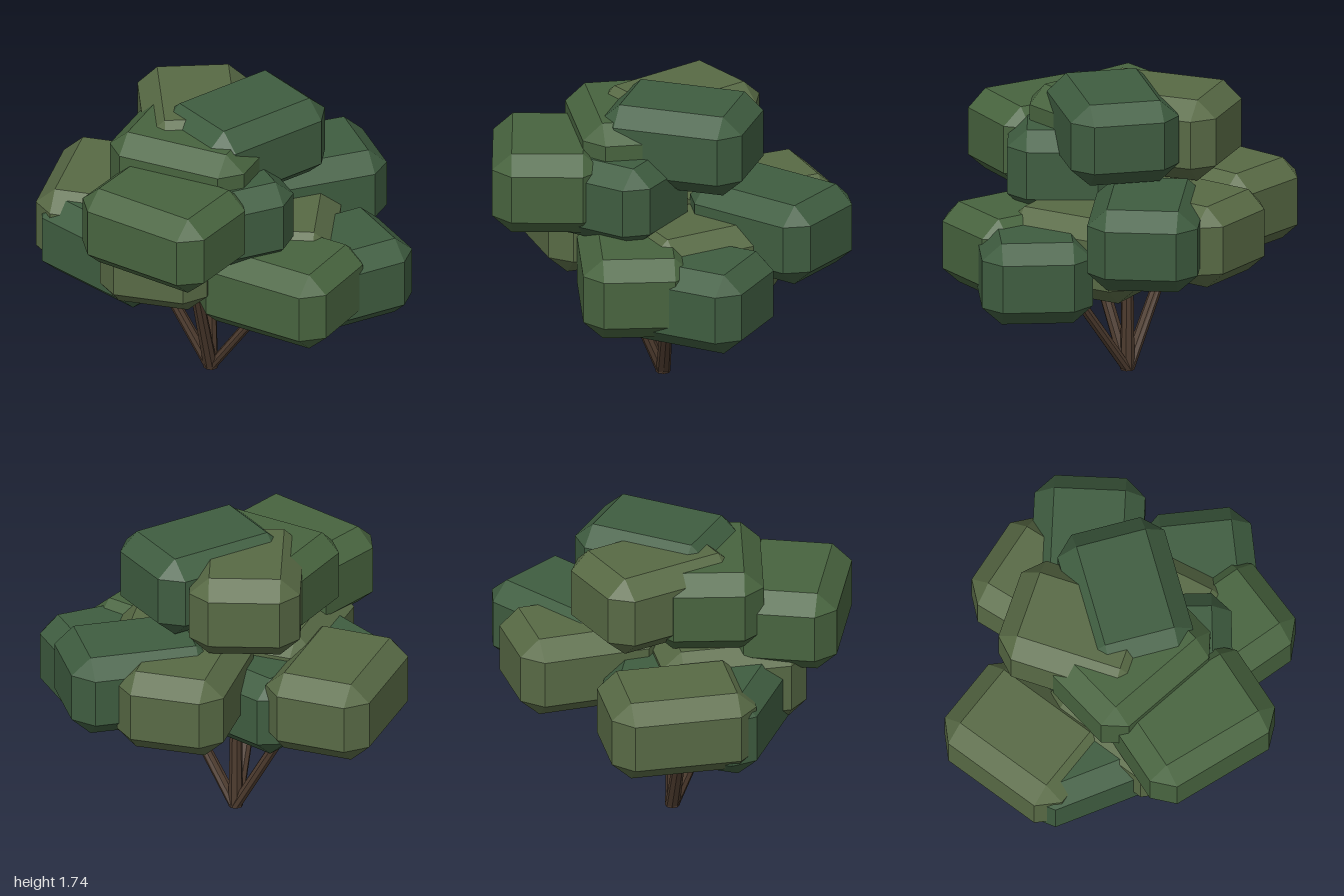
import * as THREE from 'three';
import { ConvexGeometry } from 'three/addons/geometries/ConvexGeometry.js';

const material = (color) => new THREE.MeshStandardMaterial({ color, flatShading: true });

// Box with every edge and corner cut off: 24 corner points
function chamferedBox(hx, hy, hz, cut, cutY) {
  const points = [];
  for (const sx of [-1, 1]) for (const sy of [-1, 1]) for (const sz of [-1, 1]) {
    const add = (x, y, z) => points.push(new THREE.Vector3(sx * x, sy * y, sz * z));
    add(hx, hy - cutY, hz - cut);
    add(hx - cut, hy, hz - cut);
    add(hx - cut, hy - cutY, hz);
  }
  return new ConvexGeometry(points);
}

export function createModel() {
  const tree = new THREE.Group();
  tree.name = 'tree';

  // Foliage: x, middle height, z, turn in degrees
  const clumps = {
    darkFoliage: {
      color: 0x3f5d40,
      places: [
        [0.13, 1.5, 0.0, 23],
        [0.56, 1.01, -0.275, 5],
        [-0.155, 1.23, 0.335, 9],
        [0.53, 0.77, 0.385, 14],
        [-0.565, 0.86, -0.14, -60],
        [-0.28, 0.82, -0.2, 40],
      ],
    },
    greenFoliage: {
      color: 0x48643f,
      places: [
        [-0.47, 1.27, 0.47, -50],
        [-0.2, 1.42, 0.08, -40],
        [0.21, 0.815, 0.5, -46],
      ],
    },
    oliveFoliage: {
      color: 0x586a45,
      places: [
        [-0.09, 1.46, -0.23, 79],
        [-0.57, 0.9, -0.48, 60],
        [0.295, 0.97, -0.435, 65],
        [-0.35, 0.94, 0.1, 60],
        [0.33, 0.85, 0.1, 70],
      ],
    },
  };
  const clumpGeometry = chamferedBox(0.42, 0.24, 0.315, 0.112, 0.1);
  for (const [name, { color, places }] of Object.entries(clumps)) {
    const group = new THREE.Group();
    group.name = name;
    const leaf = material(color);
    for (const [x, y, z, turn] of places) {
      const clump = new THREE.Mesh(clumpGeometry, leaf);
      clump.name = 'leafClump';
      clump.position.set(x, y, z);
      clump.rotation.y = THREE.MathUtils.degToRad(turn);
      group.add(clump);
    }
    tree.add(group);
  }

  // Stems fanning out from one foot
  const bark = material(0x4d3b2e);
  const foot = new THREE.Vector3(-0.055, 0, -0.05);
  const tips = [
    [0.27, 0.65, 0.28],
    [-0.4, 0.72, -0.27],
    [-0.3, 1.08, 0.33],
    [-0.06, 0.85, -0.05],
  ];
  const stems = new THREE.Group();
  stems.name = 'stems';
  for (const tip of tips) {
    const along = new THREE.Vector3(...tip).sub(foot);
    const length = along.length();
    const geometry = new THREE.CylinderGeometry(0.03, 0.042, length, 8);
    geometry.translate(0, length / 2, 0);
    const stem = new THREE.Mesh(geometry, bark);
    stem.name = 'stem';
    stem.quaternion.setFromUnitVectors(new THREE.Vector3(0, 1, 0), along.normalize());
    stem.position.copy(foot);
    // Level the foot of the stem on the ground
    stem.updateMatrix();
    geometry.applyMatrix4(stem.matrix);
    stem.position.set(0, 0, 0);
    stem.quaternion.identity();
    const p = geometry.attributes.position;
    for (let i = 0; i < p.count; i++) if (p.getY(i) < 0.1) p.setY(i, 0);
    geometry.computeVertexNormals();
    stems.add(stem);
  }
  tree.add(stems);
  return tree;
}
